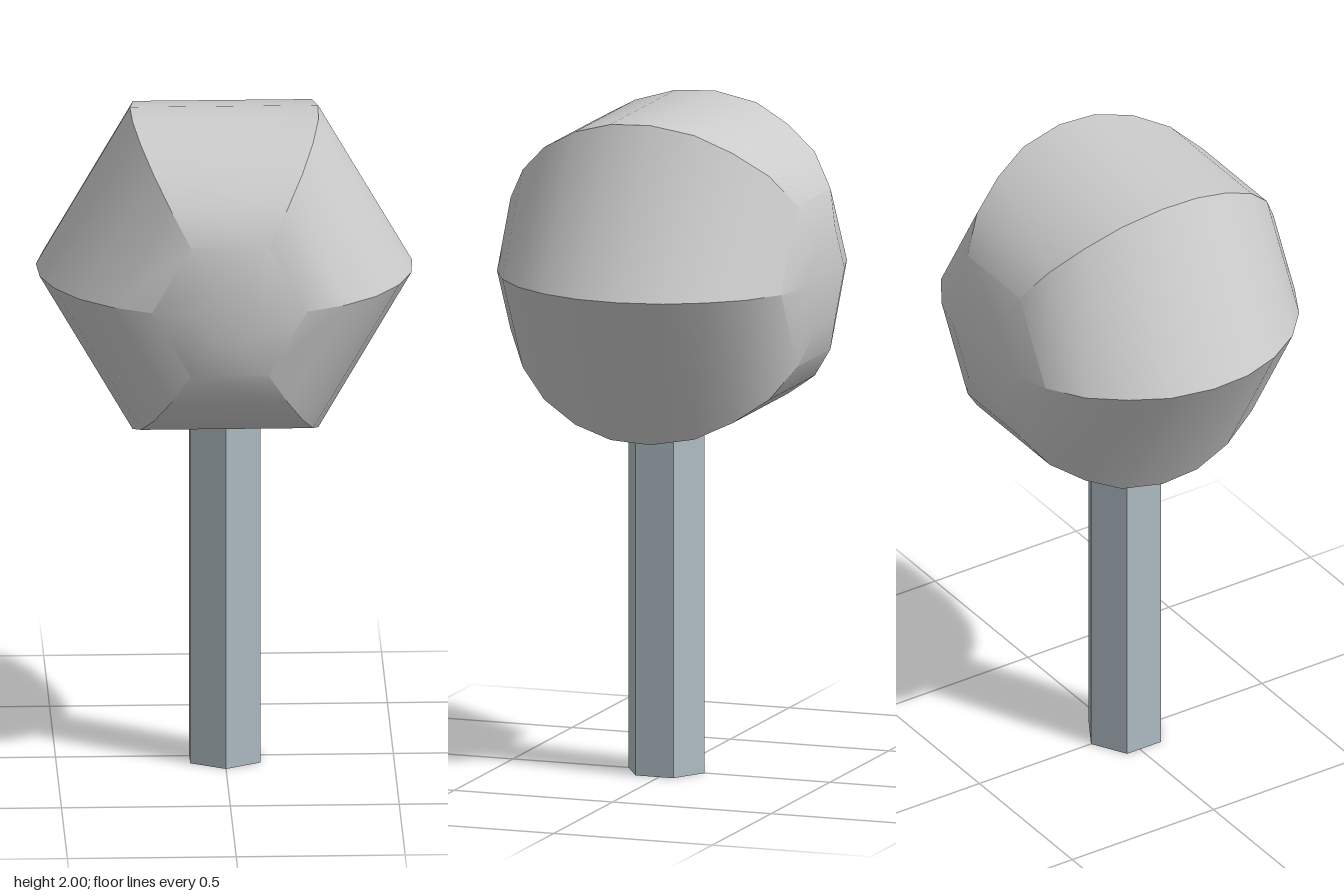
import * as THREE from 'three';
import { toCreasedNormals } from 'three/addons/utils/BufferGeometryUtils.js';

// Rounded head: a circular profile swept around the z axis with six sides
function makeHead() {
  const profile = [
    [0, -0.495], [0.16, -0.487], [0.28, -0.45], [0.39, -0.38], [0.47, -0.28],
    [0.53, -0.17], [0.557, -0.035], [0.55, 0.09], [0.51, 0.21], [0.44, 0.32],
    [0.345, 0.405], [0.23, 0.465], [0.1, 0.49], [0, 0.49],
  ].map(([r, z]) => new THREE.Vector2(r, z));
  const geometry = new THREE.LatheGeometry(profile, 6, Math.PI / 2);
  geometry.rotateX(Math.PI / 2);
  const head = new THREE.Mesh(
    toCreasedNormals(geometry, 0.5),
    new THREE.MeshStandardMaterial({ color: 0xcccccc })
  );
  head.name = 'head';
  head.position.y = 1.52;
  return head;
}

// Hexagonal handle, set slightly forward and sunk into the head
function makeHandle() {
  const height = 1.15;
  const handle = new THREE.Mesh(
    new THREE.CylinderGeometry(0.12, 0.12, height, 6),
    new THREE.MeshStandardMaterial({ color: 0xb0bec5, flatShading: true })
  );
  handle.name = 'handle';
  handle.position.set(0, height / 2, 0.015);
  return handle;
}

export function createModel() {
  const model = new THREE.Group();
  model.name = 'mallet';
  model.add(makeHead(), makeHandle());
  return model;
}
